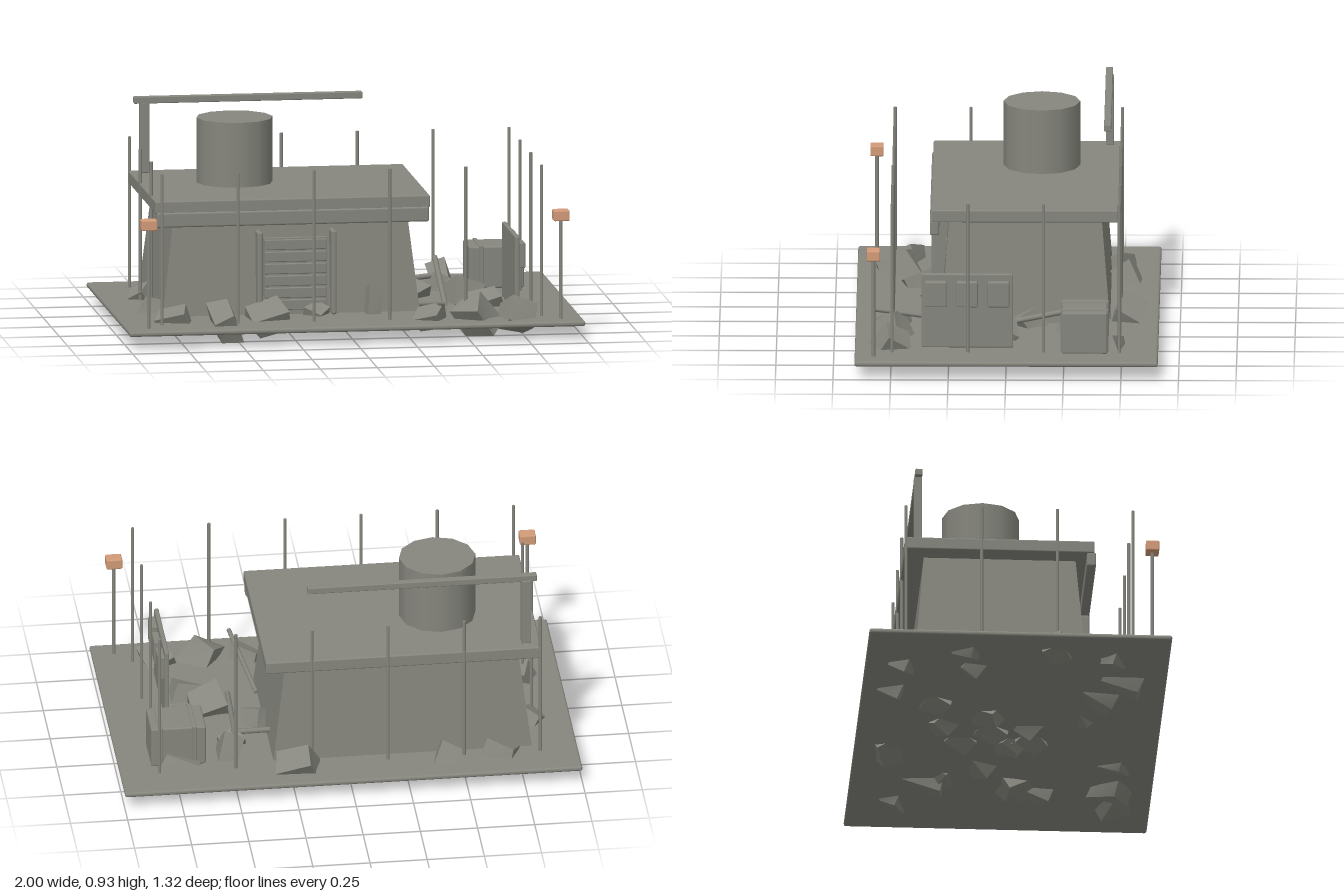
import * as THREE from 'three';
import { RoundedBoxGeometry } from 'three/addons/geometries/RoundedBoxGeometry.js';

const concrete = new THREE.MeshStandardMaterial({ name: 'greyConcrete', color: 0x86867e });
const amber = new THREE.MeshStandardMaterial({ name: 'amberLamp', color: 0xd39b78 });

let seed = 7;
const rand = () => {
  seed = (seed * 16807) % 2147483647;
  return seed / 2147483647;
};

export function createModel() {
  const model = new THREE.Group();
  model.name = 'outpost';

  const add = (name, geometry, x = 0, y = 0, z = 0, material = concrete, parent = model) => {
    const mesh = new THREE.Mesh(geometry, material);
    mesh.name = name;
    mesh.position.set(x, y, z);
    parent.add(mesh);
    return mesh;
  };
  // Box given by its limits on each axis, with optional rounded edges
  const block = (name, x0, x1, y0, y1, z0, z1, radius = 0, material = concrete, parent = model) => {
    const size = [x1 - x0, y1 - y0, z1 - z0];
    const geometry = radius ? new RoundedBoxGeometry(...size, 2, radius) : new THREE.BoxGeometry(...size);
    return add(name, geometry, (x0 + x1) / 2, (y0 + y1) / 2, (z0 + z1) / 2, material, parent);
  };
  // Round bar between two points
  const bar = (name, from, to, radius) => {
    const a = new THREE.Vector3(...from), b = new THREE.Vector3(...to);
    const d = b.clone().sub(a);
    const mesh = add(name, new THREE.CylinderGeometry(radius, radius, d.length(), 8));
    mesh.position.copy(a).add(b).multiplyScalar(0.5);
    mesh.quaternion.setFromUnitVectors(new THREE.Vector3(0, 1, 0), d.normalize());
    return mesh;
  };

  // Ground slab
  block('groundSlab', -1, 1, 0.062, 0.085, -0.66, 0.657, 0.01);

  // Bunker body with walls leaning inwards
  const body = new THREE.BoxGeometry(1, 1, 1);
  const p = body.attributes.position;
  for (let i = 0; i < p.count; i++) {
    const top = p.getY(i) > 0;
    const halfX = top ? 0.508 : 0.565, halfZ = top ? 0.33 : 0.368;
    p.setXYZ(i, -0.238 + Math.sign(p.getX(i)) * halfX, top ? 0.55 : 0.08, -0.08 + Math.sign(p.getZ(i)) * halfZ);
  }
  body.computeVertexNormals();
  add('bunkerWalls', body);

  // Roof and the beam under its front edge
  block('roofSlab', -0.84, 0.365, 0.545, 0.6, -0.497, 0.328, 0.006);
  block('roofFascia', -0.835, 0.36, 0.485, 0.55, 0.295, 0.335, 0.008);

  // Ribbed shutter door between two posts
  block('shutterDoor', -0.36, -0.08, 0.085, 0.42, 0.2, 0.29);
  for (let i = 0; i < 6; i++) {
    const y = 0.105 + i * 0.053;
    block('shutterSlat', -0.355, -0.085, y, y + 0.045, 0.285, 0.302, 0.004);
  }
  for (const x of [-0.38, -0.056]) block('doorPost', x - 0.012, x + 0.012, 0.085, 0.455, 0.24, 0.332, 0.009);

  // Small wall shutters, leaning with the wall
  for (const x of [-0.65, 0.173]) {
    const shutter = block('wallShutter', x - 0.051, x + 0.051, 0.35, 0.415, 0.259, 0.267);
    shutter.rotation.x = -Math.atan(0.038 / 0.47);
  }

  // Roof tank
  add('roofTank', new THREE.CylinderGeometry(0.167, 0.167, 0.285, 12), -0.425, 0.743, -0.145);

  // Roof mast with its long arm
  block('mastPost', -0.8, -0.757, 0.6, 0.91, -0.455, -0.42, 0.004);
  block('mastArm', -0.825, 0.177, 0.905, 0.935, -0.451, -0.42, 0.004);

  // Perimeter stakes
  for (let i = 0; i < 6; i++) {
    for (let j = 0; j < 4; j++) {
      if (i % 5 && j % 3) continue;
      const x = -0.835 + i * 0.333, z = -0.492 + j * 0.329;
      bar('perimeterStake', [x, 0.08, z], [x, 0.75, z], 0.007);
    }
  }

  // Corner lamps
  for (const x of [-0.905, 0.903]) {
    bar('lampPole', [x, 0.08, 0.575], [x, 0.53, 0.575], 0.008);
    block('lampHead', x - 0.035, x + 0.035, 0.518, 0.565, 0.546, 0.604, 0.006, amber);
  }

  // Standing panel with three raised modules
  block('equipmentPanel', 0.732, 0.752, 0.085, 0.415, -0.03, 0.368, 0.006);
  for (const z of [0.033, 0.17, 0.306]) block('panelModule', 0.74, 0.78, 0.272, 0.385, z - 0.047, z + 0.047, 0.006);

  // Supply crate with two straps
  block('supplyCrate', 0.62, 0.86, 0.085, 0.27, -0.44, -0.243, 0.008);
  for (const x of [0.672, 0.818]) block('crateStrap', x - 0.009, x + 0.009, 0.083, 0.275, -0.445, -0.237, 0.003);

  // Fallen pipes
  bar('fallenPipe', [0.488, 0.205, -0.38], [0.455, 0.085, 0.17], 0.012);
  bar('fallenPipe', [0.4, 0.165, 0.58], [0.33, 0.09, 0.15], 0.01);
  bar('fallenPipe', [0.28, 0.13, -0.25], [0.49, 0.145, -0.28], 0.012);

  // Rubble: boxes with shifted corners, sunk through the slab
  const rock = (x, z, w, h, d, turn, tilt, y = 0.09) => {
    const geometry = new THREE.BoxGeometry(w, h, d);
    const pos = geometry.attributes.position;
    const shift = Array.from({ length: 8 }, () => [0, 1, 2].map(() => 0.72 + rand() * 0.38));
    for (let i = 0; i < pos.count; i++) {
      const s = shift[(pos.getX(i) > 0) + 2 * (pos.getY(i) > 0) + 4 * (pos.getZ(i) > 0)];
      pos.setXYZ(i, pos.getX(i) * s[0], pos.getY(i) * s[1], pos.getZ(i) * s[2]);
    }
    geometry.rotateX(tilt).rotateZ(tilt * 0.7).rotateY(turn).translate(x, y, z);
    for (let i = 0; i < pos.count; i++) pos.setY(i, Math.max(0.004, pos.getY(i)));
    geometry.computeVertexNormals();
    add('rubble', geometry);
  };
  // x, z, width, height, depth, turn, tilt
  const rocks = [
    [-0.77, 0.42, 0.14, 0.1, 0.08, -0.5, 0.4],
    [-0.56, 0.48, 0.11, 0.15, 0.17, -0.1, 0.5],
    [-0.35, 0.37, 0.17, 0.1, 0.16, 0.1, 0.4],
    [0.34, 0.49, 0.13, 0.08, 0.11, -0.5, 0.4],
    [0.54, 0.49, 0.15, 0.17, 0.14, -0.6, 0.5],
    [0.72, 0.5, 0.14, 0.12, 0.15, 0.1, -0.5],
    [0.63, 0.175, 0.15, 0.1, 0.11, 0.1, 0.4],
    [0.555, 0.045, 0.16, 0.16, 0.15, 0.2, -0.45],
    [0.51, -0.33, 0.1, 0.13, 0.19, -0.1, 0.5],
    [0.49, -0.27, 0.12, 0.1, 0.08, 0.3, -0.5],
    [0.74, -0.46, 0.16, 0.1, 0.09, -0.3, 0.4],
    [0.22, -0.52, 0.16, 0.13, 0.11, -0.3, -0.5],
    [-0.42, -0.52, 0.1, 0.13, 0.1, -0.3, 0.5],
    [-0.66, -0.49, 0.13, 0.1, 0.1, -0.4, 0.4],
    [-0.82, -0.22, 0.09, 0.1, 0.1, -0.6, 0.5],
    [-0.83, 0.16, 0.1, 0.11, 0.1, -0.5, -0.4],
    [0.35, -0.1, 0.11, 0.12, 0.11, 0.5, 0.5],
    [-0.13, 0.31, 0.1, 0.08, 0.09, 0.7, 0.5],
  ];
  for (const r of rocks) rock(...r);
  // Chunk leaning on the front wall
  rock(0.12, 0.31, 0.07, 0.13, 0.06, 0.1, -0.15, 0.14);
  // Smaller chunks buried under the building
  for (let i = 0; i < 10; i++) {
    rock(-0.7 + rand() * 0.95, -0.35 + rand() * 0.55, 0.12, 0.1, 0.1, rand() * 3, 0.6, 0.075);
  }

  return model;
}
